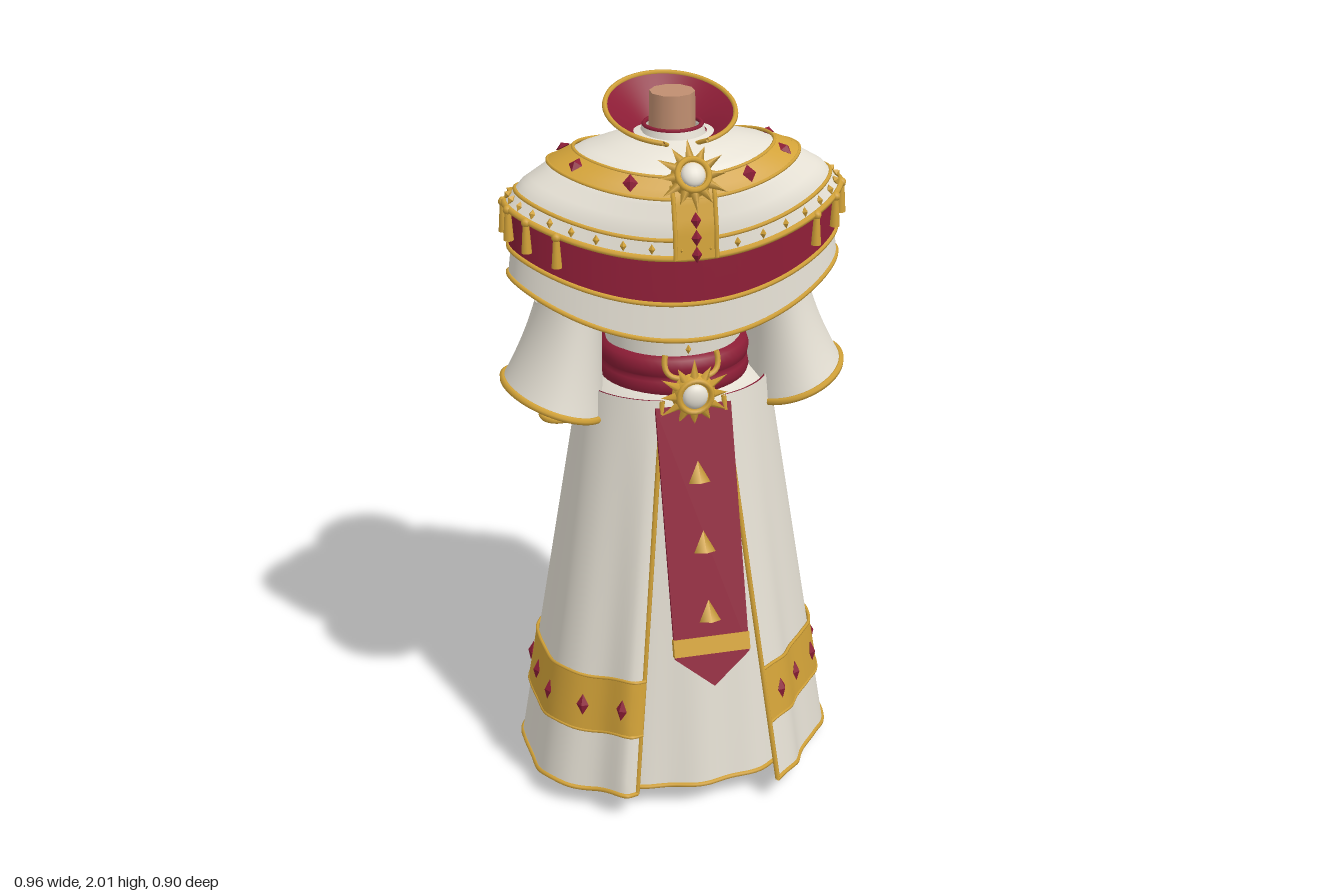
import * as THREE from 'three';
import { mergeVertices } from 'three/addons/utils/BufferGeometryUtils.js';

const V = (x, y, z) => new THREE.Vector3(x, y, z);
const { lerp, clamp } = THREE.MathUtils;

export function createModel() {
  const root = new THREE.Group();
  root.name = 'ceremonialRobe';
  const mat = (name, color) => new THREE.MeshStandardMaterial({ name, color, side: THREE.DoubleSide });
  const white = mat('ivoryCloth', 0xe4dfd3), gold = mat('goldTrim', 0xd2a238);
  const red = mat('crimsonCloth', 0x8c1d36), skin = mat('skin', 0xc08e70);

  const add = (name, geo, m, pos = [0, 0, 0], parent = root) => {
    const mesh = new THREE.Mesh(geo, m);
    mesh.name = name;
    mesh.position.set(...pos);
    parent.add(mesh);
    return mesh;
  };
  // Cloth surface from a rule p(u, v)
  const sheet = (fn, nu, nv, u0 = 0, u1 = 1, v0 = 0, v1 = 1) => {
    const pos = [], idx = [];
    for (let j = 0; j <= nv; j++) for (let i = 0; i <= nu; i++) {
      const p = fn(lerp(u0, u1, i / nu), lerp(v0, v1, j / nv));
      pos.push(p.x, p.y, p.z);
      if (i < nu && j < nv) {
        const a = j * (nu + 1) + i, b = a + nu + 1;
        idx.push(a, b, a + 1, b, b + 1, a + 1);
      }
    }
    let g = new THREE.BufferGeometry();
    g.setAttribute('position', new THREE.Float32BufferAttribute(pos, 3));
    g.setIndex(idx);
    g = mergeVertices(g, 1e-4);
    g.computeVertexNormals();
    return g;
  };
  // Outward normal of a surface rule, and the same surface pushed along it
  const normal = (fn, u, v) => {
    const e = 0.004, a = clamp(u, e, 1 - e), b = clamp(v, e, 1 - e);
    const n = fn(a + e, b).sub(fn(a - e, b)).cross(fn(a, b + e).sub(fn(a, b - e))).normalize();
    const p = fn(a, b);
    return n.x * p.x + n.y * 0.15 + n.z * p.z < 0 ? n.negate() : n;
  };
  const offset = (fn, d) => (u, v) => fn(u, v).addScaledVector(normal(fn, u, v), d);
  const trim = (name, fn, closed = false, r = 0.007, n = 64, parent = root) => {
    const pts = [];
    for (let i = 0; i < n + (closed ? 0 : 1); i++) pts.push(fn(i / n));
    add(name, new THREE.TubeGeometry(new THREE.CatmullRomCurve3(pts, closed), n * 2, r, 6, closed), gold, [0, 0, 0], parent);
  };
  const gemGeo = new THREE.OctahedronGeometry(1);
  const gem = (name, fn, u, v, w, h, m = red, d = 0.01) => {
    const n = normal(fn, u, v), p = fn(u, v).addScaledVector(n, d);
    const g = add(name, gemGeo, m, p.toArray());
    g.scale.set(w, h, 0.012);
    g.lookAt(p.clone().add(n));
  };
  // Sunburst ornament facing +z
  const sun = (name, pos, tilt, turn, r, pearl) => {
    const g = new THREE.Group();
    g.name = name;
    g.position.set(...pos);
    g.rotation.set(tilt, turn, 0, 'YXZ');
    root.add(g);
    add('disc', new THREE.CylinderGeometry(r * 0.85, r, 0.02, 24), gold, [0, 0, 0], g).rotation.x = Math.PI / 2;
    add('rim', new THREE.TorusGeometry(r * 0.75, 0.008, 6, 24), gold, [0, 0, 0.012], g);
    for (let i = 0; i < 12; i++) {
      const a = i * Math.PI / 6, l = i % 2 ? 0.04 : 0.055;
      const ray = add('ray', new THREE.ConeGeometry(0.013, l, 4), gold, [-Math.sin(a) * (r + l * 0.3), Math.cos(a) * (r + l * 0.3), 0], g);
      ray.rotation.z = a;
    }
    add('boss', new THREE.SphereGeometry(r * 0.58, 18, 12), pearl ? white : gold, [0, 0, 0.01], g).scale.z = 0.55;
  };

  // Inner skirt, closed all round with gentle folds
  const inner = (u, v) => {
    const a = u * Math.PI * 2, c = Math.cos(a), s = Math.sin(a);
    const k = v < 0.03 ? v / 0.03 : 1;
    const w = 1 + 0.018 * v * Math.cos(a * 14);
    const rx = lerp(0.19, lerp(0.25, 0.4, v), k) * w;
    const rz = lerp(0.17, c > 0 ? lerp(0.19, 0.31, v) : lerp(0.225, 0.345, v), k) * w;
    return V(rx * s, lerp(1.23, 0.065, v), rz * c);
  };
  add('innerSkirt', sheet(inner, 96, 33), white);
  trim('innerHem', u => inner(u, 1), true, 0.007, 96);

  // Outer skirt panels: waist arc blended into a wavy hem, listed front to back
  const hems = [
    [1, [[.215, .35], [.29, .28], [.33, .2], [.39, .13], [.45, .03], [.455, -.08], [.37, -.2], [.365, -.29], [.3, -.355], [.17, -.37], [.045, -.4]]],
    [-1, [[.19, .32], [.225, .335], [.29, .26], [.38, .205], [.425, .13], [.43, .02], [.435, -.08], [.42, -.18], [.34, -.28], [.2, -.35], [.15, -.405], [.09, -.445], [.045, -.425]]],
  ];
  for (const [s, pts] of hems) {
    const curve = new THREE.CatmullRomCurve3(pts.map(([x, z]) => V(x * s, 0.07 + (z - 0.35) * 0.077, z)));
    const panel = (u, v) => {
      const h = curve.getPointAt(clamp(u, 0, 1)), a = lerp(0.33, Math.PI - 0.02, u);
      const top = V(0.26 * Math.sin(a) * s, 1.22, Math.cos(a) * (Math.cos(a) > 0 ? 0.212 : 0.24));
      const y = lerp(1.22, h.y + 0.006 * Math.sin(u * 30), v);
      return top.lerp(h, v).setY(y);
    };
    const side = s > 0 ? 'left' : 'right';
    add(side + 'SkirtPanel', sheet(panel, 56, 24), white);
    add(side + 'SkirtLining', sheet(offset(panel, -0.006), 56, 12), red);
    add(side + 'SkirtBand', sheet(offset(panel, 0.008), 56, 4, 0, 1, 0.7, 0.842), gold);
    for (const v of [0.7, 0.842]) trim(side + 'BandEdge', u => offset(panel, 0.006)(u, v), false, 0.005);
    trim(side + 'Hem', u => panel(u, 1));
    for (const u of [0, 1]) trim(side + 'PanelEdge', v => panel(u, v), false, 0.007, 24);
    for (let i = 0; i < 8; i++) gem('skirtGem', panel, 0.06 + i * 0.125, 0.775, 0.018, 0.032);
  }

  // Torso, neck and belt
  const torso = add('torso', new THREE.CylinderGeometry(0.2, 0.185, 0.5, 40), white, [0, 1.52, -0.015]);
  torso.scale.z = 0.85;
  for (let i = 0; i < 3; i++) add('torsoStud', gemGeo, gold, [0, 1.34 + i * 0.04, 0.15]).scale.set(0.008, 0.014, 0.01);
  add('neck', new THREE.CylinderGeometry(0.06, 0.064, 0.2, 10).toNonIndexed(), skin, [0, 1.9, -0.025]);
  add('neckBand', new THREE.CylinderGeometry(0.08, 0.1, 0.07, 32, 1, true), white, [0, 1.88, -0.02]);
  add('neckPiping', new THREE.TorusGeometry(0.076, 0.006, 6, 32), red, [0, 1.913, -0.02]).rotation.x = Math.PI / 2;
  const beltPts = [[.18, 1.21], [.2, 1.215], [.207, 1.238], [.203, 1.258], [.195, 1.266], [.203, 1.274], [.207, 1.295], [.2, 1.318], [.18, 1.325]];
  add('belt', new THREE.LatheGeometry(beltPts.map(p => new THREE.Vector2(...p)), 48), red, [0, 0, -0.012]).scale.z = 0.94;

  // Mantle: rows of half-width, front depth, back depth, side height, dip
  const mantle = rows => (u, v) => {
    const a = u * Math.PI * 2, t = clamp(v, 0, 1) * (rows.length - 1);
    const i = Math.min(Math.floor(t), rows.length - 2);
    const [rx, zf, zb, y, dip] = rows[i].map((r, k) => lerp(r, rows[i + 1][k], t - i));
    const s = Math.sin(a);
    return V(rx * Math.cos(a), y - dip * s * s, s * (s > 0 ? zf : zb));
  };
  const upper = mantle([[.085, .075, .11, 1.9, .005], [.17, .12, .16, 1.887, .015], [.25, .162, .203, 1.868, .03],
    [.33, .193, .235, 1.835, .055], [.405, .212, .257, 1.79, .085], [.455, .22, .265, 1.735, .11]]);
  const lower = mantle([[.43, .205, .25, 1.74, .11], [.44, .212, .254, 1.62, .12], [.45, .218, .254, 1.54, .145]]);
  const sashBand = mantle([[.44, .211, .257, 1.735, .11], [.447, .217, .26, 1.615, .118]]);
  add('upperMantle', sheet(upper, 80, 20), white);
  add('lowerMantle', sheet(lower, 80, 8), white);
  add('mantleBand', sheet(sashBand, 80, 4), red);
  add('shoulderRing', sheet(offset(upper, 0.008), 80, 5, 0, 1, 0.44, 0.61), gold);
  for (const v of [0.44, 0.61]) trim('shoulderRingEdge', u => offset(upper, 0.006)(u, v), true, 0.005);
  trim('upperMantleEdge', u => upper(u, 1), true, 0.009);
  trim('upperMantleLine', u => upper(u, 0.88), true, 0.006);
  trim('mantleBandEdge', u => sashBand(u, 1), true, 0.007);
  trim('lowerMantleEdge', u => lower(u, 1), true, 0.007);
  for (let i = 0; i < 8; i++) {
    const a = [0.38, 1.02, 2.12, 2.76, 3.52, 4.1, 5.32, 5.9][i];
    gem('ringGem', upper, a / (Math.PI * 2), 0.52, 0.02, 0.024);
  }
  for (let i = 0; i < 36; i++) gem('edgeStud', upper, (i + 0.5) / 36, 0.94, 0.009, 0.014, gold, 0.004);

  // Centre strips front and back
  for (const u of [0.25, 0.75]) {
    const strip = (a, b) => {
      const p = upper(u, b), n = normal(upper, u, b);
      return p.addScaledVector(n, 0.01).setX((a - 0.5) * 0.11);
    };
    add('centreStrip', sheet(strip, 4, 10, 0, 1, 0.5, 1), gold);
    for (const a of [0, 1]) trim('stripEdge', t => strip(a, lerp(0.5, 1, t)), false, 0.006, 16);
    for (const v of [0.75, 0.86, 0.97]) gem('stripGem', upper, u, v, 0.014, 0.022, red, 0.016);
  }
  sun('collarBrooch', [0, 1.835, 0.185], -0.6, 0, 0.055, true);
  sun('backSunburst', [0, 1.79, -0.24], -0.5, Math.PI, 0.045, false);
  sun('beltBrooch', [0, 1.235, 0.215], 0, 0, 0.06, true);
  for (const s of [-1, 1]) { // curved horns above the belt brooch
    const horn = new THREE.QuadraticBezierCurve3(V(s * .03, 1.28, .2), V(s * .085, 1.28, .19), V(s * .07, 1.34, .175));
    add('beltHorn', new THREE.TubeGeometry(horn, 10, 0.008, 6), gold);
  }

  // Shoulder tassels
  for (const base of [0, Math.PI]) for (let i = 0; i < 6; i++) {
    const u = ((base + (i - 2.5) * 0.28 + Math.PI * 2) % (Math.PI * 2)) / (Math.PI * 2);
    const p = offset(upper, 0.004)(u, 1);
    add('tassel', new THREE.CylinderGeometry(0.008, 0.014, 0.085, 8), gold, [p.x, p.y - 0.045, p.z]);
    add('tasselKnot', new THREE.SphereGeometry(0.013, 8, 6), gold, [p.x, p.y - 0.005, p.z]);
  }

  // Flared standing collar, open at the front
  const collar = d => (u, v) => {
    const a = lerp(0.35, Math.PI * 2 - 0.35, u), k = v ** 1.15;
    return V(lerp(0.09, 0.172, k) * Math.sin(a), lerp(1.875, 1.945 - 0.048 * Math.cos(a), v) + d,
      lerp(0.095, 0.168, k) * Math.cos(a) - lerp(0.02, 0.045, v));
  };
  add('collarOuter', sheet(collar(0), 48, 8), white);
  add('collarLining', sheet(collar(0.006), 48, 8), red);
  trim('collarRim', u => collar(0.003)(u, 1), false, 0.007);
  for (const u of [0, 1]) trim('collarEnd', v => collar(0.003)(u, v), false, 0.006, 8);

  // Bell sleeves with cuffs and forearms
  for (const s of [-1, 1]) {
    const g = new THREE.Group();
    g.name = s > 0 ? 'leftSleeve' : 'rightSleeve';
    g.position.set(s * 0.3, 0, -0.014);
    root.add(g);
    const sleeve = (u, v) => {
      const a = u * Math.PI * 2, k = v ** 2.2, c = Math.cos(a);
      return V(s * (lerp(-0.03, 0.036, v ** 1.5) + lerp(0.078, 0.135, k) * c),
        lerp(1.62, 1.178 + 0.05 * c, v), lerp(0.12, 0.174, k) * Math.sin(a));
    };
    add('sleeve', sheet(sleeve, 48, 16), white, [0, 0, 0], g);
    add('sleeveLining', sheet(offset(sleeve, -0.008), 48, 8, 0, 1, 0.4, 0.99), red, [0, 0, 0], g);
    add('cuffFacing', sheet(offset(sleeve, -0.013), 48, 2, 0, 1, 0.93, 1), gold, [0, 0, 0], g);
    trim('cuffRim', u => sleeve(u, 1), true, 0.01, 48, g);
    add('forearm', new THREE.CylinderGeometry(0.055, 0.04, 0.34, 20), white, [s * 0.025, 1.28, -0.01], g);
    for (const y of [1.11, 1.138]) add('wristRing', new THREE.TorusGeometry(0.043, 0.009, 6, 24), gold, [s * 0.025, y, -0.01], g).rotation.x = Math.PI / 2;
  }

  // Hanging sash, swung forward
  const sash = new THREE.Group();
  sash.name = 'sash';
  sash.position.set(0, 1.2, 0.2);
  sash.rotation.x = -0.318;
  root.add(sash);
  const shape = new THREE.Shape([[-.104, 0], [-.104, -.685], [0, -.77], [.104, -.685], [.104, 0]].map(p => new THREE.Vector2(...p)));
  add('sashCloth', new THREE.ExtrudeGeometry(shape, { depth: 0.01, bevelEnabled: false }), red, [0, 0, -0.005], sash);
  add('sashBar', new THREE.BoxGeometry(0.212, 0.048, 0.02), gold, [0, -0.655, 0], sash);
  for (const y of [-0.18, -0.37, -0.56]) add('sashSpike', new THREE.ConeGeometry(0.03, 0.06, 4).toNonIndexed(), gold, [0, y, 0.008], sash).scale.z = 0.7;

  return root;
}
